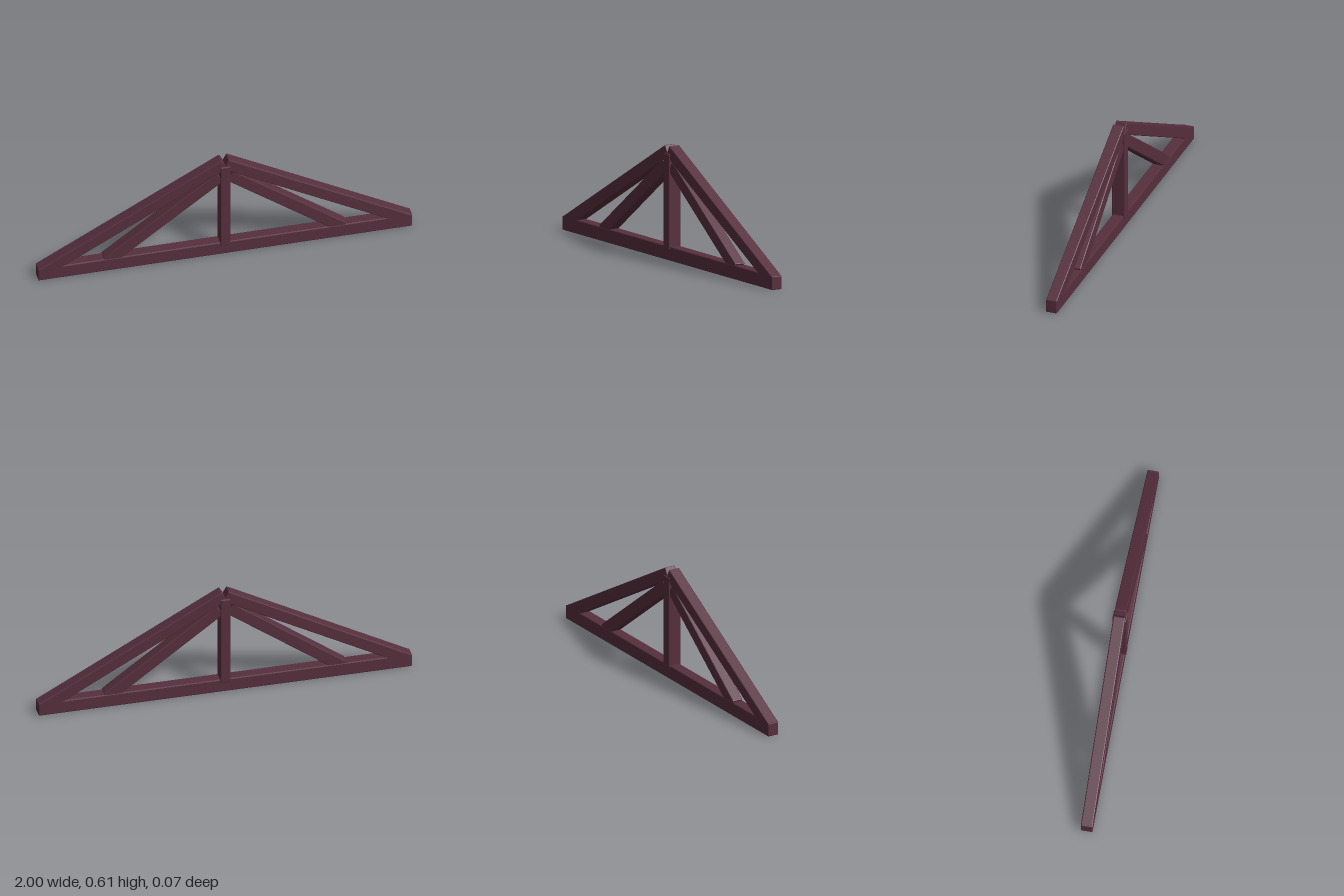
import * as THREE from 'three';
import { RoundedBoxGeometry } from 'three/addons/geometries/RoundedBoxGeometry.js';

const BEVEL = 0.005;

export function createModel() {
  const truss = new THREE.Group();
  truss.name = 'roofTruss';
  const wood = new THREE.MeshStandardMaterial({ color: 0x562f3d });
  wood.name = 'dark stained wood';

  // Timber with narrow bevelled edges, running from one end centre to the other
  function beam(name, [x0, y0], [x1, y1], thickness, depth) {
    const length = Math.hypot(x1 - x0, y1 - y0);
    const geometry = new RoundedBoxGeometry(length, thickness, depth, 1, BEVEL);
    geometry.computeVertexNormals(); // flat facets
    const mesh = new THREE.Mesh(geometry, wood);
    mesh.name = name;
    mesh.position.set((x0 + x1) / 2, (y0 + y1) / 2, 0);
    mesh.rotation.z = Math.atan2(y1 - y0, x1 - x0);
    truss.add(mesh);
  }

  // Bottom chord and the slightly deeper centre post
  beam('bottomChord', [-1, 0.037], [1, 0.037], 0.074, 0.062);
  beam('kingPost', [0, 0.055], [0, 0.565], 0.054, 0.074);

  // Sloping rafters and inner braces, mirrored about the post
  for (const [side, s] of [['left', 1], ['right', -1]]) {
    beam(side + 'Rafter', [s * 0.984, 0.042], [s * 0.004, 0.579], 0.065, 0.062);
    beam(side + 'Brace', [s * 0.631, 0.055], [s * 0.026, 0.5], 0.066, 0.059);
  }
  return truss;
}
